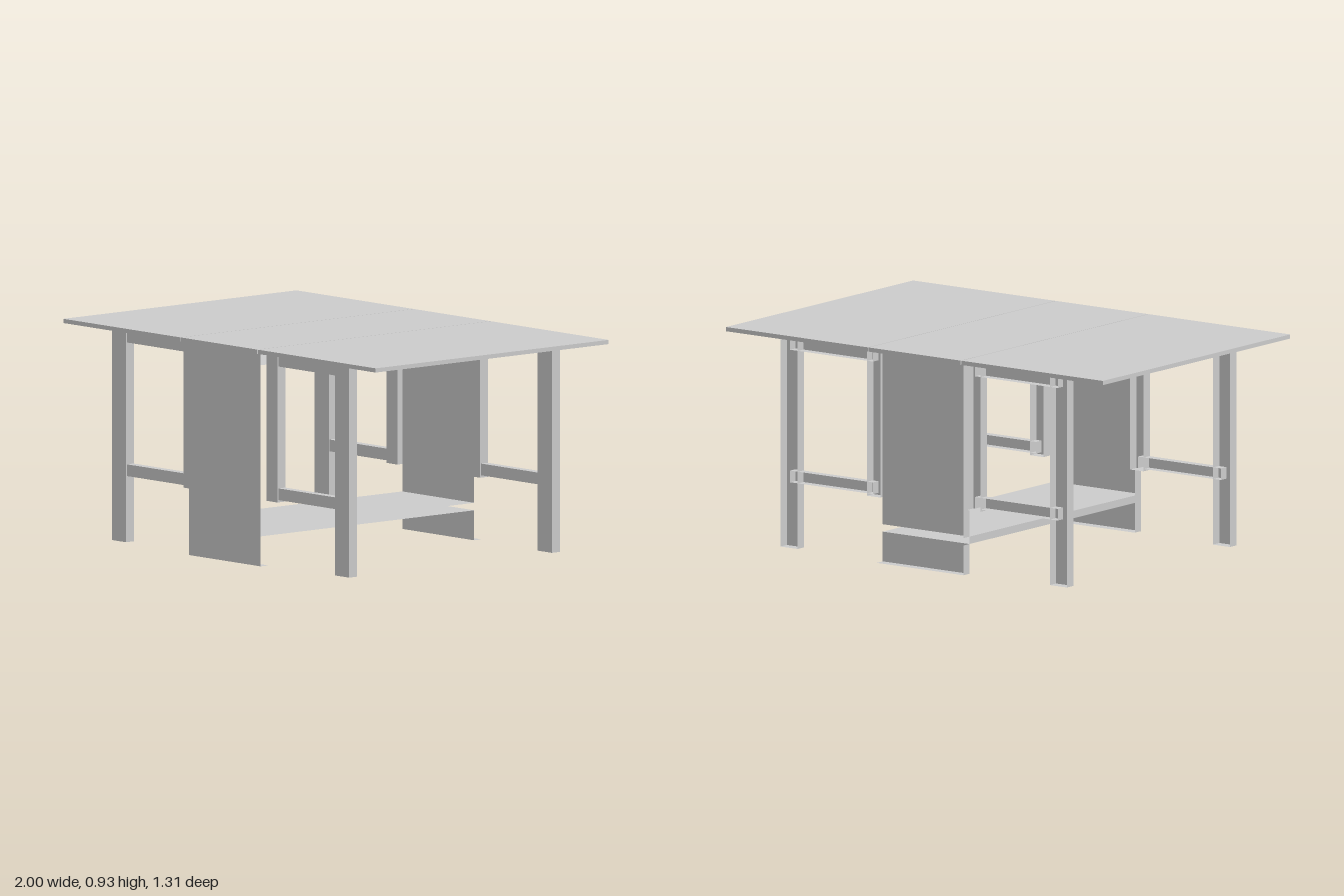
import * as THREE from 'three';

const material = new THREE.MeshStandardMaterial({ color: 0xcccccc, side: THREE.DoubleSide, flatShading: true });
const FACES = ['+x', '-x', '+y', '-y', '+z', '-z'];

// Box between two limits per axis, leaving out the named faces
function box(parent, name, [x0, x1], [y0, y1], [z0, z1], open = []) {
  const geometry = new THREE.BoxGeometry(x1 - x0, y1 - y0, z1 - z0);
  const index = Array.from(geometry.index.array);
  geometry.setIndex(index.filter((_, i) => !open.includes(FACES[Math.floor(i / 6)])));
  geometry.clearGroups();
  geometry.translate((x0 + x1) / 2, (y0 + y1) / 2, (z0 + z1) / 2);
  const mesh = new THREE.Mesh(geometry, material);
  mesh.name = name;
  parent.add(mesh);
}

// Swinging gate: outer leg, short inner post and two rails, hollow at the back
function gate(name, side, z0) {
  const g = new THREE.Group();
  g.name = name;
  const z = [z0, z0 + 0.045];
  const span = (a, b) => {
    const shift = -0.005;
    return side > 0 ? [a + shift, b + shift] : [-b + shift, -a + shift];
  };
  box(g, 'gateLeg', span(0.669, 0.76), [0.005, 0.912], z, ['-z']);
  box(g, 'gatePost', span(0.23, 0.301), [0.277, 0.912], z, ['-z']);
  for (const [railName, y] of [['lowerRail', [0.287, 0.337]], ['upperRail', [0.857, 0.899]]]) {
    box(g, railName, span(0.27, 0.71), y, [z0 + 0.002, z0 + 0.04], ['-z']);
  }
  return g;
}

export function createModel() {
  const table = new THREE.Group();
  table.name = 'gatelegTable';

  // Table top: fixed centre and two drop leaves
  const topY = [0.912, 0.93], topZ = [-0.655, 0.655];
  box(table, 'leftLeaf', [0.246, 1], topY, topZ);
  box(table, 'centreTop', [-0.246, 0.242], topY, topZ);
  box(table, 'rightLeaf', [-1, -0.25], topY, topZ);

  // Central frame: end panels joined by a shelf and an upper crosspiece
  const frame = new THREE.Group();
  frame.name = 'centralFrame';
  table.add(frame);
  const x = [-0.235, 0.225];
  box(frame, 'frontPanel', x, [0, 0.91], [0.577, 0.621], ['+x', '-z']);
  box(frame, 'backPanelLower', x, [0, 0.128], [-0.621, -0.579], ['+x', '+y', '-z']);
  box(frame, 'backPanelUpper', x, [0.16, 0.91], [-0.621, -0.579], ['+x', '-y', '-z']);
  box(frame, 'shelf', x, [0.128, 0.16], [-0.579, 0.619], ['+x', '+z', '-z']);
  box(frame, 'upperCrosspiece', x, [0.858, 0.91], [-0.577, 0.619], ['+x', '+z', '-z']);

  // Four gates carrying the leaves
  for (const [end, z] of [['front', 0.544], ['back', -0.596]]) {
    table.add(gate(end + 'LeftGate', 1, z), gate(end + 'RightGate', -1, z));
  }
  return table;
}
